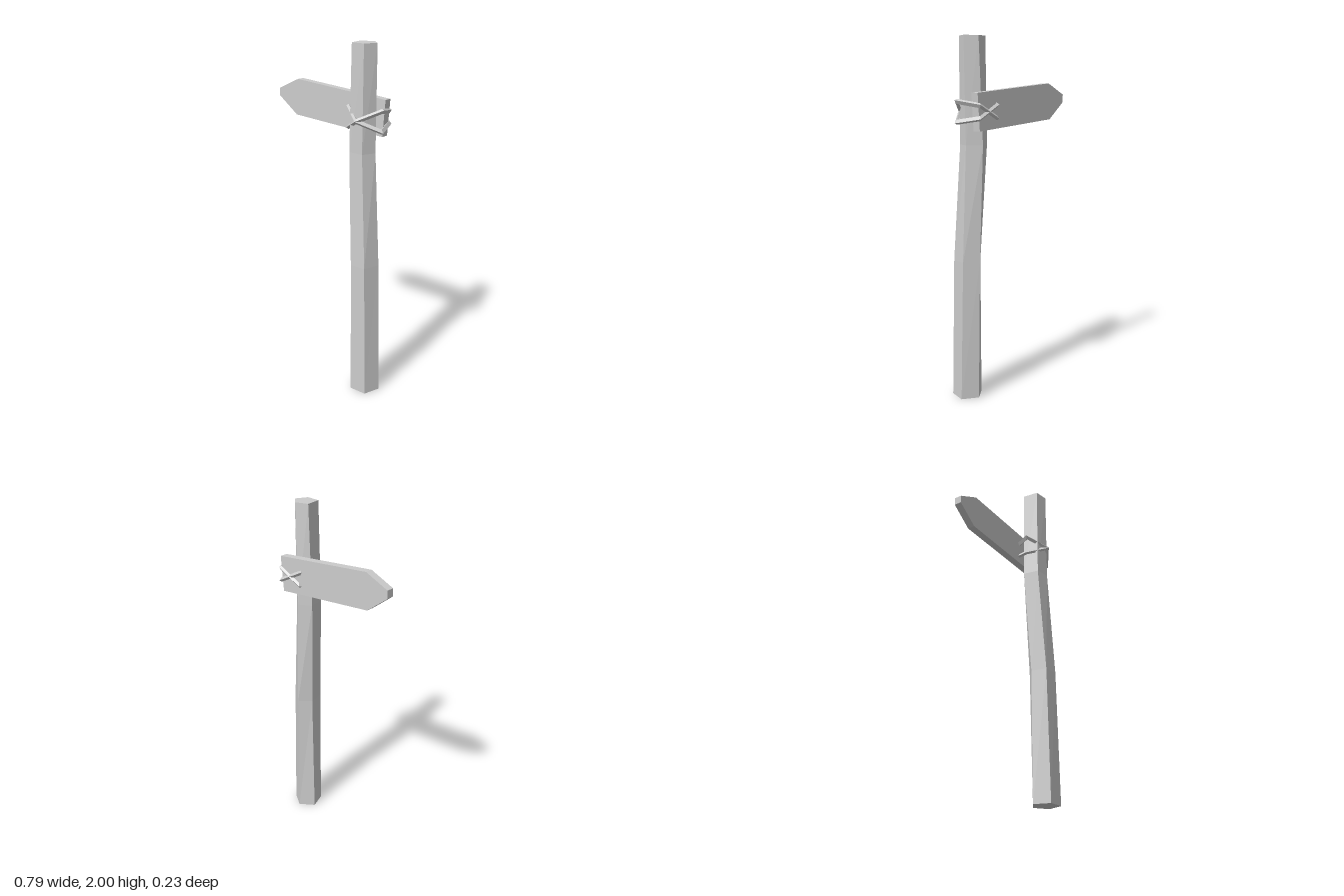
import * as THREE from 'three';

const greyWood = new THREE.MeshStandardMaterial({ color: 0xcccccc });
greyWood.name = 'greyWood';

// Faceted mesh: every face gets its own flat normals
function facetedMesh(name, geometry) {
  const g = geometry.index ? geometry.toNonIndexed() : geometry;
  g.computeVertexNormals();
  const mesh = new THREE.Mesh(g, greyWood);
  mesh.name = name;
  return mesh;
}

// Solid skinned through five-sided sections, bottom to top
function loft(sections) {
  const n = sections[0].points.length;
  const positions = sections.flatMap(({ y, points }) => points.flatMap(([x, z]) => [x, y, z]));
  const index = [];
  for (let s = 0; s < sections.length - 1; s++) {
    for (let i = 0; i < n; i++) {
      const a = s * n + i, b = s * n + (i + 1) % n;
      index.push(a, b, b + n, a, b + n, a + n);
    }
  }
  const top = (sections.length - 1) * n;
  for (let i = 1; i < n - 1; i++) {
    index.push(0, i + 1, i);
    index.push(top, top + i, top + i + 1);
  }
  const g = new THREE.BufferGeometry();
  g.setAttribute('position', new THREE.Float32BufferAttribute(positions, 3));
  g.setIndex(index);
  return g;
}

export function createModel() {
  const model = new THREE.Group();
  model.name = 'signpost';

  // Crooked post; corners run left, front left, front right, right, back
  model.add(facetedMesh('post', loft([
    { y: 0, points: [[0.222, 0], [0.255, 0.097], [0.356, 0.097], [0.388, 0], [0.305, -0.056]] },
    { y: 0.78, points: [[0.225, 0], [0.243, 0.093], [0.337, 0.095], [0.366, 0], [0.29, -0.056]] },
    { y: 1.42, points: [[0.19, -0.022], [0.207, 0.07], [0.298, 0.078], [0.332, 0.003], [0.265, -0.06]] },
    { y: 2, points: [[0.203, -0.025], [0.215, 0.068], [0.3, 0.078], [0.336, 0.01], [0.28, -0.046]] },
  ])));

  // Pointed board behind the post
  const outline = new THREE.Shape([
    [-0.4, 1.685], [-0.4, 1.64], [-0.272, 1.543], [0.333, 1.498], [0.349, 1.7], [-0.26, 1.75],
  ].map(([x, y]) => new THREE.Vector2(x, y)));
  const board = new THREE.ExtrudeGeometry(outline, { depth: 0.045, bevelEnabled: false });
  board.translate(0, 0, -0.1);
  model.add(facetedMesh('signBoard', board));

  // Two opposing sloped rope loops that cross at front and back
  const ropes = new THREE.Group();
  ropes.name = 'ropeLashing';
  for (const [name, slope] of [['ropeRisingLeft', 0.5], ['ropeRisingRight', -0.5]]) {
    const loop = new THREE.TorusGeometry(0.115, 0.0135, 4, 5);
    loop.rotateZ(-Math.PI / 2).rotateX(-Math.PI / 2);
    const p = loop.attributes.position;
    for (let i = 0; i < p.count; i++) p.setY(i, p.getY(i) + slope * p.getX(i));
    loop.translate(0.272, 1.6, -0.015);
    ropes.add(facetedMesh(name, loop));
  }
  model.add(ropes);

  return model;
}
